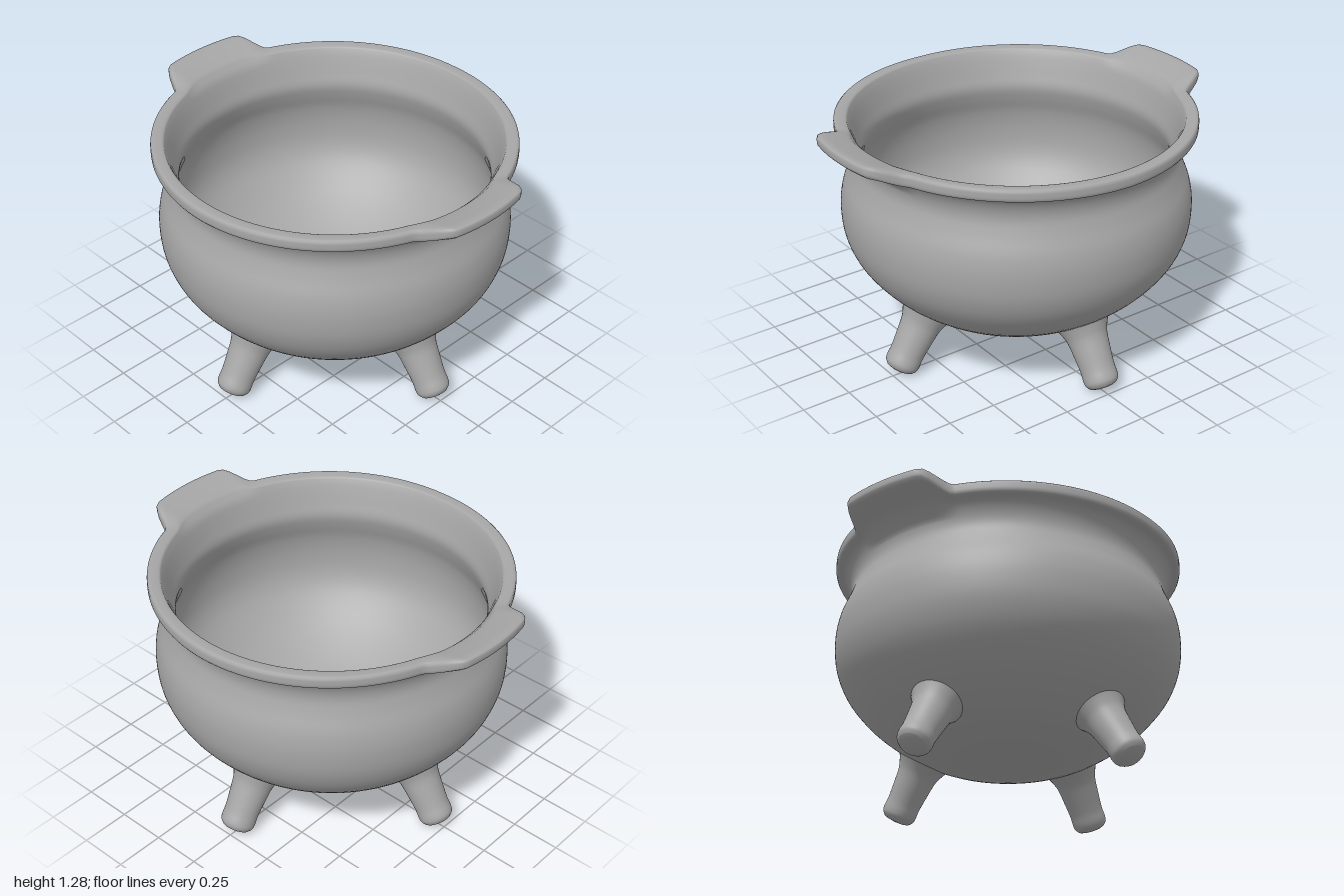
import * as THREE from 'three';
import { mergeVertices } from 'three/addons/utils/BufferGeometryUtils.js';

const iron = new THREE.MeshStandardMaterial({ color: 0xa6a6a6 });
iron.name = 'castIron';

const vec = (list) => list.map(([r, y]) => new THREE.Vector2(r, y));
const smooth = (list, n) => new THREE.SplineCurve(vec(list)).getPoints(n)
  .map((p) => new THREE.Vector2(Math.max(p.x, 0), p.y));

// Revolves a profile and welds the seam so shading stays smooth
function revolve(points, segments) {
  const g = new THREE.LatheGeometry(points, segments);
  g.deleteAttribute('uv');
  g.deleteAttribute('normal');
  return mergeVertices(g, 1e-5);
}

// Pot: outer wall, rim and inner wall in one profile, handles pulled out of the rim
function potGeometry() {
  const outer = smooth([[0, 0.165], [0.2, 0.172], [0.43, 0.226], [0.64, 0.355], [0.78, 0.5],
    [0.845, 0.63], [0.862, 0.76], [0.848, 0.87], [0.81, 0.97], [0.79, 1.04], [0.797, 1.1],
    [0.825, 1.148], [0.862, 1.163]], 60);
  const rim = vec([[0.869, 1.166], [0.874, 1.174], [0.875, 1.185], [0.875, 1.205], [0.873, 1.217],
    [0.866, 1.224], [0.855, 1.226], [0.835, 1.226], [0.82, 1.225]]);
  const inner = smooth([[0.812, 1.222], [0.795, 1.185], [0.768, 1.1], [0.75, 1.03], [0.765, 0.96],
    [0.795, 0.87], [0.806, 0.76], [0.79, 0.64], [0.73, 0.53], [0.6, 0.4], [0.4, 0.278],
    [0.2, 0.228], [0, 0.22]], 48);
  const g = revolve([...outer, ...rim, ...inner], 240);

  const p = g.attributes.position;
  for (let i = 0; i < p.count; i++) {
    const x = p.getX(i), y = p.getY(i), z = p.getZ(i), r = Math.hypot(x, z);
    if (y < 1.1 || r < 0.797) continue;
    const angle = THREE.MathUtils.radToDeg(Math.atan2(Math.abs(z), Math.abs(x)));
    const out = Math.min(1, (r - 0.797) / 0.078);
    const handle = 1 - THREE.MathUtils.smoothstep(angle, 12, 21);
    const raise = 1 - THREE.MathUtils.smoothstep(angle, 13, 20);
    const scale = (r + 0.123 * handle * out) / r;
    const lift = out * (0.048 * raise + 0.01 * Math.abs(x) / r);
    p.setXYZ(i, x * scale, y + lift, z * scale);
  }
  g.computeVertexNormals();
  return g;
}

// Leg: slightly tapered, splayed outward, flaring where it meets the pot
function legGeometry() {
  const profile = [...vec([[0, -0.004], [0.045, 0.001]]),
    ...smooth([[0.065, 0.008], [0.082, 0.028], [0.086, 0.055], [0.085, 0.1], [0.092, 0.18],
      [0.1, 0.25], [0.113, 0.29], [0.131, 0.327], [0.15, 0.355]], 28)];
  const g = revolve(profile, 40);
  g.rotateZ(Math.atan2(0.53, 0.85));
  g.translate(0.715, 0.024, 0);
  const p = g.attributes.position;
  for (let i = 0; i < p.count; i++) p.setY(i, Math.max(0, p.getY(i)));
  g.computeVertexNormals();
  return g;
}

export function createModel() {
  const group = new THREE.Group();
  group.name = 'cauldron';

  const pot = new THREE.Mesh(potGeometry(), iron);
  pot.name = 'potWithHandles';
  group.add(pot);

  const leg = legGeometry();
  ['leftLeg', 'backLeg', 'rightLeg', 'frontLeg'].forEach((name, i) => {
    const mesh = new THREE.Mesh(leg, iron);
    mesh.name = name;
    mesh.rotation.y = i * Math.PI / 2;
    group.add(mesh);
  });
  return group;
}
